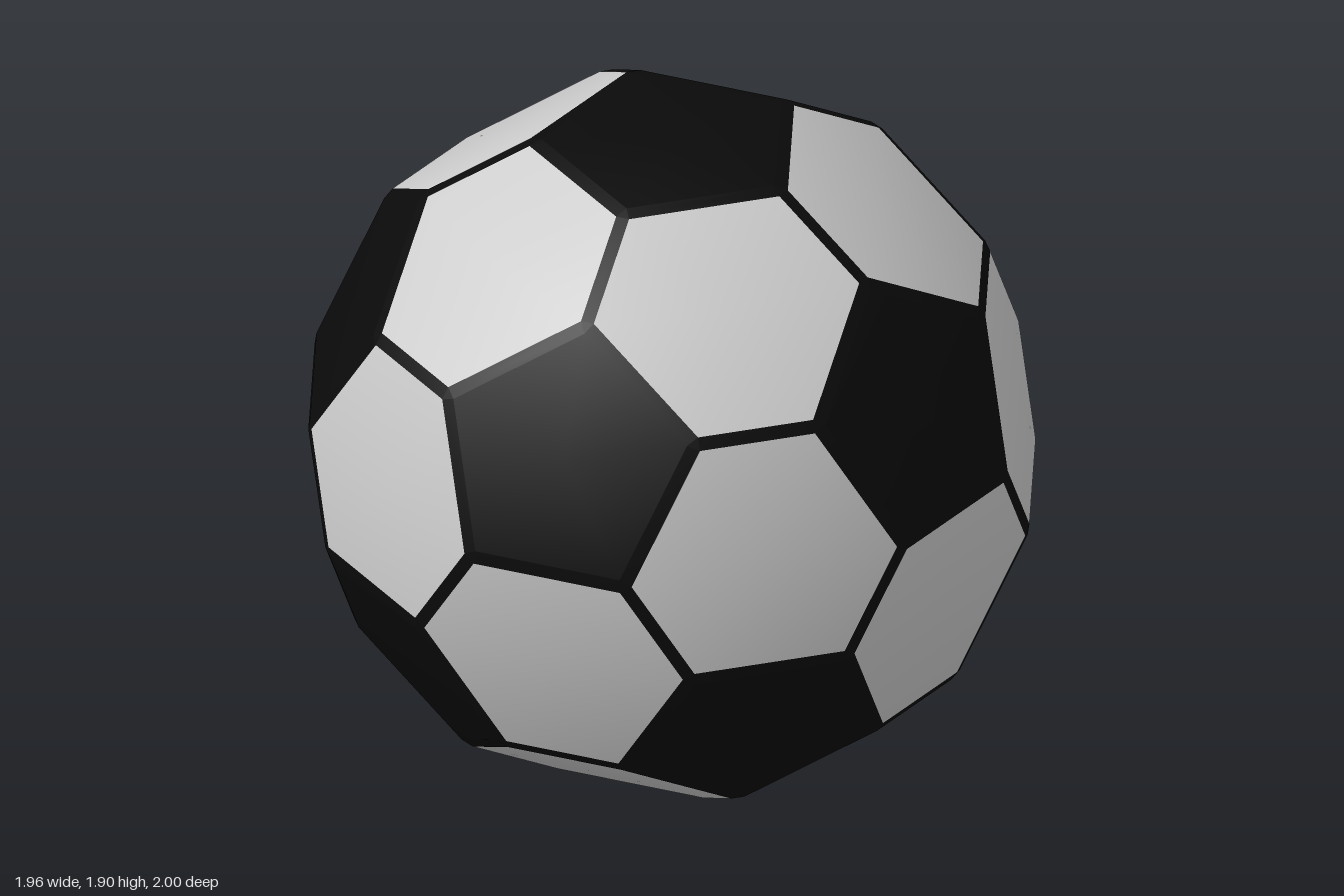
import * as THREE from 'three';

const RADIUS = 1.184; // icosahedron before its corners are cut off
const CUT = 0.36;     // share of each edge removed at each end
const SEAM = 0.02;    // half width of the bevelled seams

// Icosahedron corners: two poles and two staggered rings of five
function icosahedronCorners() {
  const ring = (y, turn) => Array.from({ length: 5 }, (_, i) => {
    const a = (i * 72 + turn) * Math.PI / 180;
    return new THREE.Vector3(2 * Math.cos(a), y, 2 * Math.sin(a)).setLength(RADIUS);
  });
  return [new THREE.Vector3(0, RADIUS, 0), ...ring(1, 0), ...ring(-1, 36), new THREE.Vector3(0, -RADIUS, 0)];
}

const centreOf = (pts) => pts.reduce((s, p) => s.add(p), new THREE.Vector3()).divideScalar(pts.length);

// Move every side of a convex polygon inwards by d
function inset(pts, d) {
  return pts.map((p, i) => {
    const u = pts[(i + pts.length - 1) % pts.length].clone().sub(p).normalize();
    const w = pts[(i + 1) % pts.length].clone().sub(p).normalize();
    const k = d / u.clone().cross(w).length();
    return p.clone().addScaledVector(u.add(w), k);
  });
}

// Outward-facing polygons as fans, with normals softened towards the sphere
function polygonGeometry(polygons) {
  const position = [], normal = [];
  for (const pts of polygons) {
    const c = centreOf(pts);
    const n = pts[1].clone().sub(pts[0]).cross(pts[2].clone().sub(pts[0])).normalize();
    const ring = n.dot(c) < 0 ? [...pts].reverse() : pts;
    if (n.dot(c) < 0) n.negate();
    ring.forEach((p, i) => {
      for (const v of [c, p, ring[(i + 1) % ring.length]]) {
        position.push(v.x, v.y, v.z);
        const m = v.clone().normalize().add(n).normalize();
        normal.push(m.x, m.y, m.z);
      }
    });
  }
  const g = new THREE.BufferGeometry();
  g.setAttribute('position', new THREE.Float32BufferAttribute(position, 3));
  g.setAttribute('normal', new THREE.Float32BufferAttribute(normal, 3));
  return g;
}

export function createModel() {
  const ball = new THREE.Group();
  ball.name = 'ball';
  const grey = new THREE.MeshStandardMaterial({ color: 0xcccccc });
  const black = new THREE.MeshStandardMaterial({ color: 0x0a0a0a });

  const V = icosahedronCorners();
  const near = (a, b) => a !== b && V[a].distanceTo(V[b]) < RADIUS * 1.2;
  const cutPoint = ([a, b]) => V[a].clone().lerp(V[b], CUT);
  const panels = []; // each panel lists its corners as [from, towards] pairs

  // Pentagon around every corner, neighbours sorted by angle
  V.forEach((v, a) => {
    const around = V.map((_, b) => b).filter((b) => near(a, b));
    const axis = v.clone().normalize();
    const e1 = V[around[0]].clone().projectOnPlane(axis).normalize();
    const e2 = axis.clone().cross(e1);
    const angle = (b) => Math.atan2(V[b].dot(e2), V[b].dot(e1));
    around.sort((p, q) => angle(p) - angle(q));
    panels.push({ name: 'pentagonPanel', material: black, keys: around.map((b) => [a, b]) });
  });

  // Hexagon on every triangle
  for (let a = 0; a < 12; a++) for (let b = a + 1; b < 12; b++) for (let c = b + 1; c < 12; c++) {
    if (near(a, b) && near(b, c) && near(a, c)) {
      panels.push({ name: 'hexagonPanel', material: grey, keys: [[a, b], [b, a], [b, c], [c, b], [c, a], [a, c]] });
    }
  }

  // Panels, remembering which inset points meet at each edge and corner
  const edges = new Map(), corners = new Map();
  const remember = (map, key, pts) => map.set(key, [...(map.get(key) || []), pts]);
  for (const { name, material, keys } of panels) {
    const pts = inset(keys.map(cutPoint), SEAM);
    const mesh = new THREE.Mesh(polygonGeometry([pts]), material);
    mesh.name = name;
    ball.add(mesh);
    keys.forEach((key, i) => {
      const j = (i + 1) % keys.length;
      const k1 = key.join(','), k2 = keys[j].join(',');
      remember(corners, k1, pts[i]);
      remember(edges, [k1, k2].sort().join('|'), k1 < k2 ? [pts[i], pts[j]] : [pts[j], pts[i]]);
    });
  }

  // Bevelled seams: a strip per edge and a small triangle per corner
  const strips = [...edges.values()].map(([p, q]) => [p[0], p[1], q[1], q[0]]);
  const seams = new THREE.Mesh(polygonGeometry([...strips, ...corners.values()]), black);
  seams.name = 'seams';
  ball.add(seams);

  // Rest the bottom pentagon on the ground
  ball.position.y = RADIUS * (1 - CUT * (1 - 1 / Math.sqrt(5)));
  const model = new THREE.Group();
  model.name = 'footballModel';
  model.add(ball);
  return model;
}
